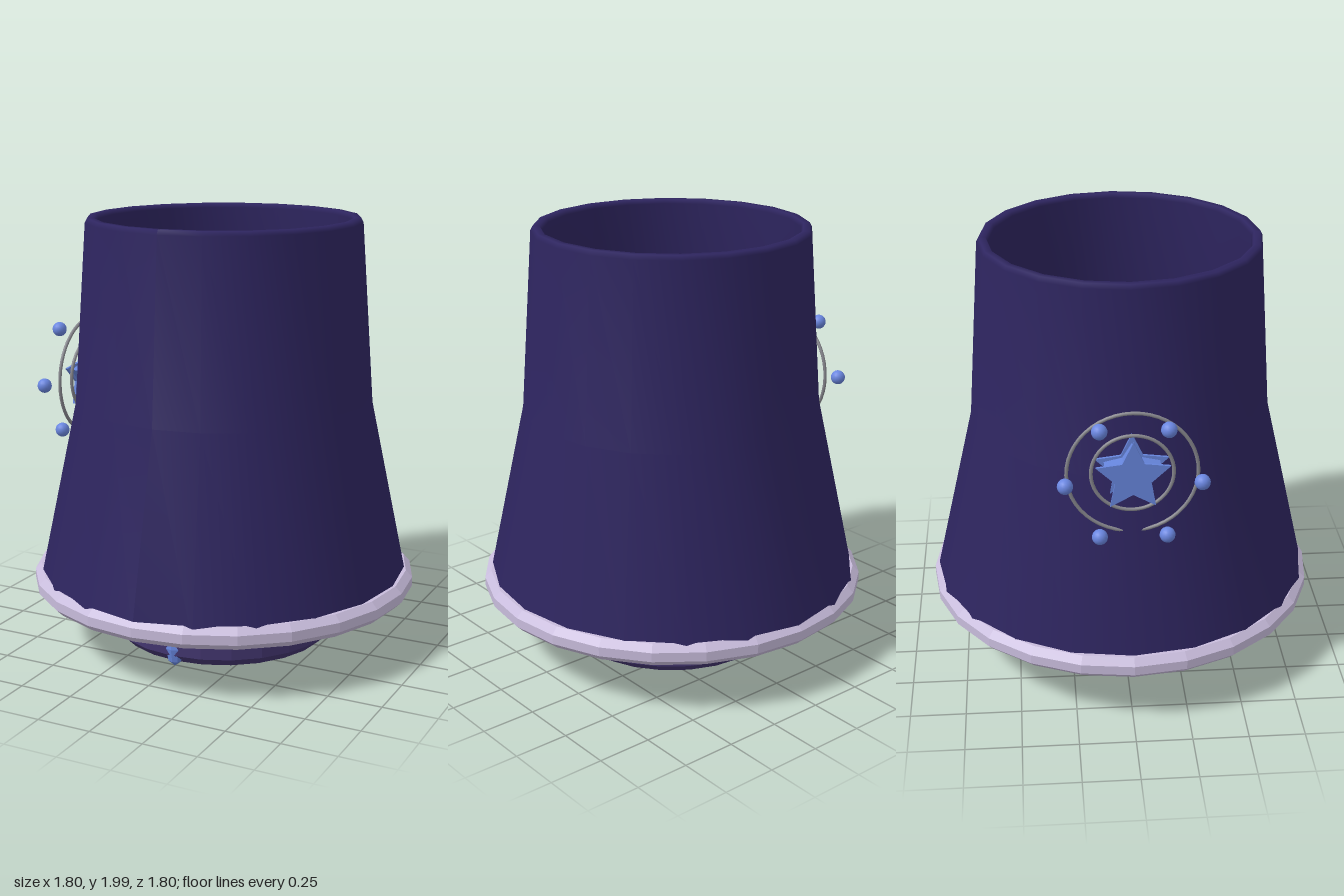
import * as THREE from 'three';

const mat = (color, flatShading = false) =>
  new THREE.MeshStandardMaterial({ color, flatShading, side: THREE.DoubleSide });

function addMesh(parent, name, geometry, material, x = 0, y = 0, z = 0) {
  const mesh = new THREE.Mesh(geometry, material);
  mesh.name = name;
  mesh.position.set(x, y, z);
  parent.add(mesh);
  return mesh;
}

// Ring with an octagonal cross-section
function octagonRing(radius, halfHeight, segments) {
  const points = [];
  for (let i = 0; i <= 8; i++) {
    const a = (i - 0.5) * Math.PI / 4;
    const r = halfHeight / Math.cos(Math.PI / 8);
    points.push(new THREE.Vector2(radius + r * Math.cos(a), r * Math.sin(a)));
  }
  return new THREE.LatheGeometry(points, segments);
}

// Extruded star centred on its own depth
function starGeometry(outer, inner, depth) {
  const shape = new THREE.Shape();
  for (let i = 0; i < 10; i++) {
    const a = Math.PI / 2 + i * Math.PI / 5;
    const r = i % 2 ? inner : outer;
    shape[i ? 'lineTo' : 'moveTo'](r * Math.cos(a), r * Math.sin(a));
  }
  shape.closePath();
  return new THREE.ExtrudeGeometry(shape, { depth, bevelEnabled: false }).translate(0, 0, -depth / 2);
}

export function createModel() {
  const model = new THREE.Group();
  const navy = mat(0x2e2560);
  const lilac = mat(0xc8bcdc, true);
  const purple = mat(0x42356e, true);
  const blue = mat(0x6685dc, true);
  const orbBlue = mat(0x6a86e0);
  const grey = mat(0x85858c);

  // Flared sleeve with a wall thickness, slightly narrower in x at the hem
  const profile = [
    [0.845, 0.3], [0.892, 0.3], [0.69, 1.16], [0.63, 1.98], [0.62, 2],
    [0.59, 2], [0.58, 1.98], [0.64, 1.16], [0.845, 0.3],
  ].map(([r, y]) => new THREE.Vector2(r, y));
  const sleeve = new THREE.LatheGeometry(profile, 20);
  const p = sleeve.attributes.position;
  for (let i = 0; i < p.count; i++) {
    const t = Math.max(0, (1.16 - p.getY(i)) / 0.86);
    p.setX(i, p.getX(i) * (1 - 0.025 * t));
  }
  sleeve.computeVertexNormals();
  const smooth = sleeve.toNonIndexed();
  smooth.computeVertexNormals();
  addMesh(model, 'sleeve', sleeve, navy);

  // Trim around the hem and a thin band inside
  addMesh(model, 'hemTrim', octagonRing(0.848, 0.052, 24), lilac, 0, 0.312, 0);
  addMesh(model, 'innerBand', octagonRing(0.755, 0.018, 24), lilac, 0, 0.63, 0);

  // Separate wrist ring with a cut gem at the front
  addMesh(model, 'wristRing', octagonRing(0.465, 0.07, 24), purple, 0, 0.095, 0);
  const gem = addMesh(model, 'wristGem', new THREE.SphereGeometry(1, 8, 4), blue, 0, 0.095, 0.505);
  gem.scale.set(0.045, 0.088, 0.037);

  // Side emblem: star, two hoops and six orbs, facing local +z
  const emblem = new THREE.Group();
  emblem.name = 'sideEmblem';
  emblem.position.set(-0.725, 1.2, 0);
  emblem.rotation.y = -Math.PI / 2;
  model.add(emblem);
  addMesh(emblem, 'starCore', starGeometry(0.125, 0.07, 0.08), blue);
  for (const z of [-0.04, 0.04]) addMesh(emblem, 'starFace', starGeometry(0.165, 0.08, 0.012), blue, 0, 0, z);
  for (const r of [0.278, 0.175]) addMesh(emblem, 'hoop', new THREE.TorusGeometry(r, 0.008, 8, 48), grey);
  for (let i = 0; i < 6; i++) {
    const a = i * Math.PI / 3;
    addMesh(emblem, 'orb', new THREE.SphereGeometry(0.034, 16, 12), orbBlue,
      0.286 * Math.cos(a), 0.286 * Math.sin(a) - 0.01, 0.08);
  }

  // Smaller star and hoop inside the front wall
  const inside = new THREE.Group();
  inside.name = 'innerEmblem';
  inside.position.set(0, 1.02, 0.55);
  model.add(inside);
  addMesh(inside, 'innerStar', starGeometry(0.12, 0.06, 0.03), blue, 0, 0, -0.015);
  addMesh(inside, 'innerHoop', new THREE.TorusGeometry(0.15, 0.008, 8, 40), grey);

  return model;
}
